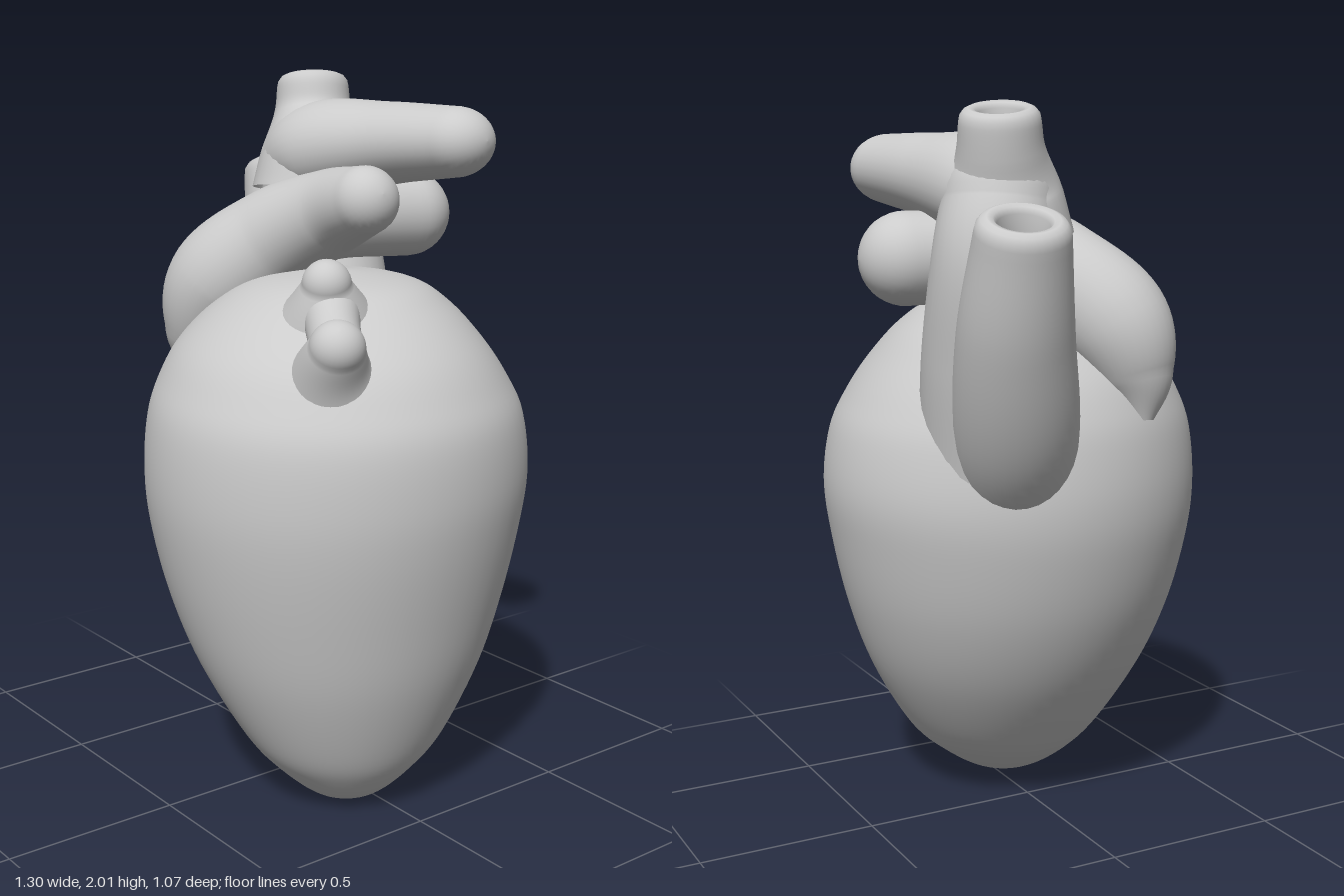
import * as THREE from 'three';

const material = new THREE.MeshStandardMaterial({ color: 0xcccccc, side: THREE.DoubleSide });

// Smooth closed skin over a list of rings with equal point counts
function skin(name, rings) {
  const n = rings[0].length, pos = [], idx = [];
  rings.forEach(r => r.forEach(p => pos.push(p.x, p.y, p.z)));
  for (let i = 0; i < rings.length - 1; i++) {
    for (let j = 0; j < n; j++) {
      const a = i * n + j, b = i * n + (j + 1) % n;
      idx.push(a, b, a + n, b, b + n, a + n);
    }
  }
  const g = new THREE.BufferGeometry();
  g.setAttribute('position', new THREE.Float32BufferAttribute(pos, 3));
  g.setIndex(idx);
  g.computeVertexNormals();
  const mesh = new THREE.Mesh(g, material);
  mesh.name = name;
  return mesh;
}

const spline = pts => new THREE.CatmullRomCurve3(pts, false, 'catmullrom', 0.5);

// Vessel along [x, y, z, radius] stations; ends in a dome, or in a lip with a shallow hole
function vessel(name, stations, { open = false, squash = 1, sides = 32 } = {}) {
  const path = spline(stations.map(s => new THREE.Vector3(s[0], s[1], s[2])));
  const radius = spline(stations.map(s => new THREE.Vector3(s[3], 0, 0)));
  const steps = (stations.length - 1) * 10;
  const rings = [];
  const T = path.getTangent(0);
  const N = new THREE.Vector3(0, 0, 1).addScaledVector(T, -T.z).normalize();
  const addRing = (c, r) => {
    const B = new THREE.Vector3().crossVectors(T, N);
    rings.push(Array.from({ length: sides }, (_, j) => {
      const a = j / sides * Math.PI * 2;
      const off = N.clone().multiplyScalar(Math.cos(a) * r).addScaledVector(B, Math.sin(a) * r);
      off.y *= squash;
      return off.add(c);
    }));
  };
  const turn = new THREE.Quaternion();
  for (let i = 0; i <= steps; i++) {
    const t = path.getTangent(i / steps);
    N.applyQuaternion(turn.setFromUnitVectors(T, t));
    T.copy(t);
    addRing(path.getPoint(i / steps), radius.getPoint(i / steps).x);
  }
  const end = path.getPoint(1), r = stations.at(-1)[3];
  // [advance, radius] as fractions of the end radius
  const tip = open
    ? [[0.15, 0.97], [0.27, 0.88], [0.33, 0.75], [0.3, 0.62], [0.18, 0.54], [-0.15, 0.48], [-0.5, 0.4], [-0.62, 0.25], [-0.65, 0.001]]
    : Array.from({ length: 10 }, (_, k) => {
      const a = (k + 1) / 10 * Math.PI / 2;
      return [Math.sin(a), Math.max(Math.cos(a), 0.001)];
    });
  tip.forEach(([d, f]) => addRing(end.clone().addScaledVector(T, d * r), r * f));
  return skin(name, rings);
}

// Main muscle: rows of y, xMin, xMax, zMin, zMax
function ventricles() {
  const rows = [
    [0, 0.235, 0.245, 0.045, 0.055],
    [0.025, 0.13, 0.33, -0.06, 0.15],
    [0.1, 0.01, 0.405, -0.175, 0.24],
    [0.2, -0.09, 0.465, -0.28, 0.32],
    [0.4, -0.235, 0.54, -0.4, 0.42],
    [0.6, -0.335, 0.59, -0.475, 0.485],
    [0.8, -0.395, 0.63, -0.52, 0.525],
    [0.95, -0.415, 0.645, -0.537, 0.535],
    [1.1, -0.405, 0.635, -0.515, 0.52],
    [1.2, -0.38, 0.595, -0.47, 0.48],
    [1.3, -0.33, 0.53, -0.405, 0.415],
    [1.4, -0.24, 0.42, -0.32, 0.3],
    [1.46, -0.13, 0.31, -0.22, 0.18],
    [1.49, 0.08, 0.1, -0.03, -0.01],
  ];
  const xs = spline(rows.map(([y, a, b]) => new THREE.Vector3(a, y, b)));
  const zs = spline(rows.map(([y, , , a, b]) => new THREE.Vector3(a, y, b)));
  const steps = 78, sides = 64, rings = [];
  for (let i = 0; i <= steps; i++) {
    const x = xs.getPoint(i / steps), z = zs.getPoint(i / steps);
    rings.push(Array.from({ length: sides }, (_, j) => {
      const a = j / sides * Math.PI * 2;
      return new THREE.Vector3(
        (x.x + x.z) / 2 + Math.sin(a) * (x.z - x.x) / 2, x.y,
        (z.x + z.z) / 2 + Math.cos(a) * (z.z - z.x) / 2);
    }));
  }
  return skin('ventricles', rings);
}

export function createModel() {
  const heart = new THREE.Group();
  heart.name = 'heart';
  heart.add(ventricles());

  // Large vein on the right, open at the top
  heart.add(vessel('venaCava', [
    [-0.14, 0.9, -0.12, 0.13], [-0.31, 1.15, -0.2, 0.165], [-0.44, 1.43, -0.27, 0.15], [-0.535, 1.69, -0.3, 0.12],
  ], { open: true }));

  // Aorta: rising trunk, open branch and arch to the left
  const aorta = new THREE.Group();
  aorta.name = 'aorta';
  aorta.add(
    vessel('ascendingAorta', [
      [-0.16, 1.1, -0.16, 0.23], [-0.22, 1.35, -0.21, 0.2], [-0.28, 1.6, -0.24, 0.17], [-0.26, 1.76, -0.22, 0.15],
    ]),
    vessel('aorticBranch', [
      [-0.25, 1.66, -0.19, 0.17], [-0.26, 1.78, -0.21, 0.15], [-0.295, 1.88, -0.235, 0.115], [-0.31, 1.955, -0.245, 0.105],
    ], { open: true }),
    vessel('aorticArch', [
      [-0.32, 1.72, -0.18, 0.13], [-0.2, 1.78, -0.21, 0.165], [0.02, 1.81, -0.26, 0.135], [0.25, 1.825, -0.3, 0.112],
    ], { squash: 0.86 }));
  heart.add(aorta);

  // Pulmonary artery: front trunk with a left and a rear branch
  const pulmonary = new THREE.Group();
  pulmonary.name = 'pulmonaryArtery';
  pulmonary.add(
    vessel('pulmonaryTrunk', [
      [-0.34, 1.16, 0.17, 0.03], [-0.305, 1.27, 0.17, 0.105], [-0.25, 1.42, 0.13, 0.155],
      [-0.12, 1.55, 0.03, 0.145], [0.06, 1.635, -0.02, 0.12], [0.235, 1.685, 0, 0.092],
    ]),
    vessel('rearPulmonaryBranch', [
      [-0.12, 1.56, 0.02, 0.12], [-0.09, 1.6, -0.15, 0.12], [-0.055, 1.6, -0.395, 0.125],
    ]));
  heart.add(pulmonary);

  // Lumpy ear-shaped chamber on the front left shoulder
  const auricle = new THREE.Group();
  auricle.name = 'leftAuricle';
  auricle.add(
    vessel('upperLobe', [[0.23, 1.3, 0.12, 0.2], [0.28, 1.41, 0.16, 0.12], [0.31, 1.49, 0.185, 0.065]]),
    vessel('lowerLobe', [[0.36, 1.2, 0.2, 0.17], [0.42, 1.29, 0.25, 0.105], [0.475, 1.36, 0.28, 0.072]]),
    vessel('lobeBridge', [[0.28, 1.43, 0.15, 0.08], [0.37, 1.38, 0.21, 0.07], [0.44, 1.34, 0.25, 0.07]]));
  heart.add(auricle);

  return heart;
}
